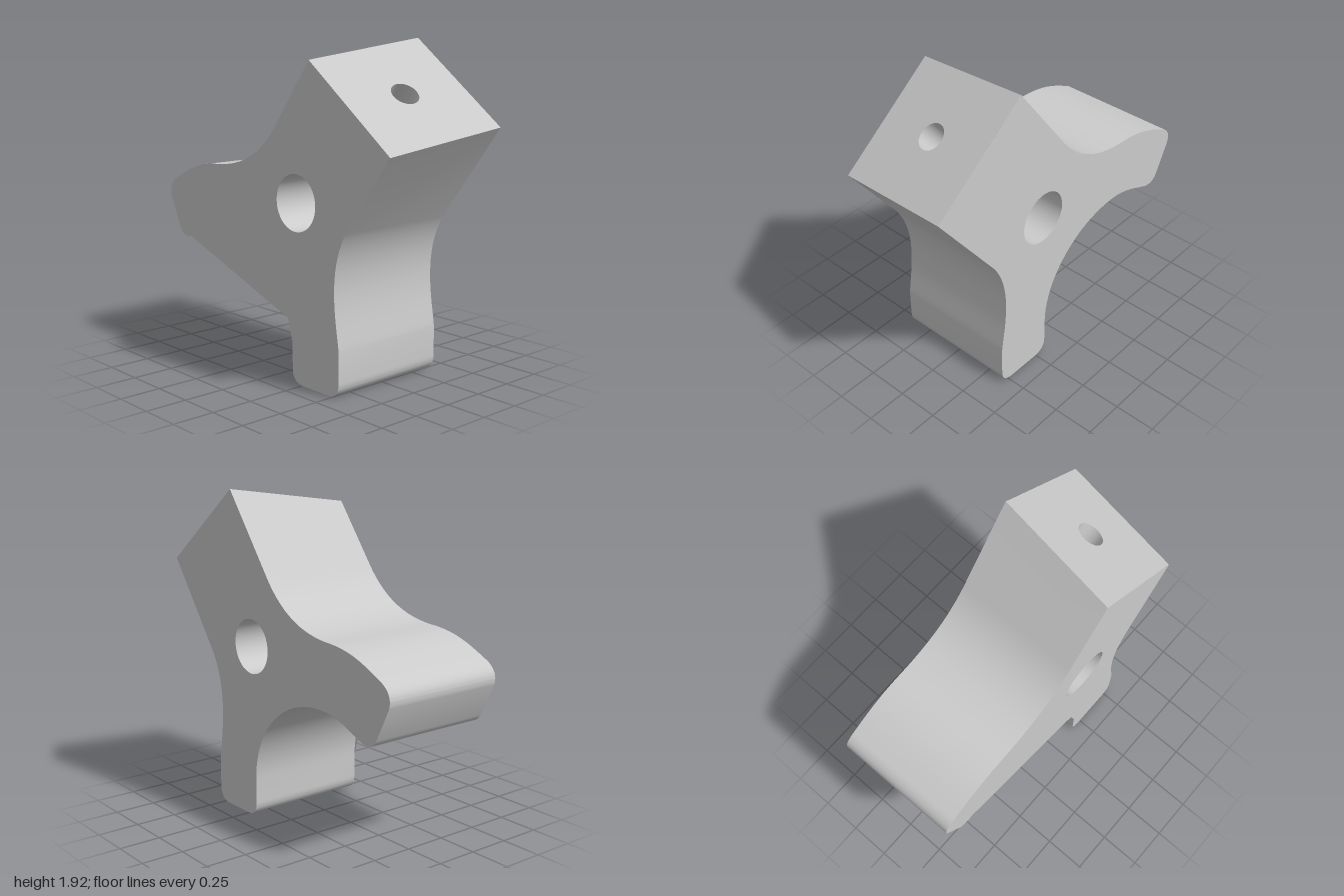
import * as THREE from 'three';
import { toCreasedNormals } from 'three/addons/utils/BufferGeometryUtils.js';

const HALF = 0.38;                       // half width along x
const SLANT = 0.132;                     // how much shorter the upper arm is at -x
const HUB = { a: -0.2, y: 1.035, r: 0.162 };
const BORE_R = 0.08;

// Profile coordinates are (a, y) with a = -z.
// The underside arch between the rear arm and the leg.
function arch(path) {
  path.bezierCurveTo(0.66, 0.75, 0.58, 0.80, 0.44, 0.80);
  path.bezierCurveTo(0.1, 0.80, -0.17, 0.55, -0.17, 0.23);
}

// Three-armed outline, starting and ending at the corners of the upper arm.
function outline(cut) {
  const s = new THREE.Shape();
  s.moveTo(-0.39 + 0.6 * cut, 1.925 - 0.8 * cut);
  s.lineTo(-0.04, 1.46);
  s.bezierCurveTo(0.08, 1.30, 0.25, 1.19, 0.52, 1.18);
  s.bezierCurveTo(0.7, 1.17, 0.8, 1.12, 0.94, 1.05);
  s.quadraticCurveTo(1.02, 1.0, 0.99, 0.92);
  s.lineTo(0.90, 0.74);
  s.quadraticCurveTo(0.87, 0.68, 0.79, 0.70);
  arch(s);
  s.lineTo(-0.17, 0.09);
  s.quadraticCurveTo(-0.17, 0, -0.26, 0);
  s.lineTo(-0.46, 0);
  s.quadraticCurveTo(-0.55, 0, -0.55, 0.09);
  s.lineTo(-0.55, 0.26);
  s.bezierCurveTo(-0.535, 0.40, -0.45, 0.68, -0.60, 0.92);
  s.lineTo(-1.0 + 0.6 * cut, 1.46 - 0.8 * cut);
  return s;
}

function circleHole(x, y, r) {
  return new THREE.Path().absarc(x, y, r, 0, Math.PI * 2, true);
}

// Flat side of the body with the hub hole
function sideGeometry(cut, x) {
  const shape = outline(cut);
  shape.holes.push(circleHole(HUB.a, HUB.y, HUB.r));
  const g = new THREE.ShapeGeometry(shape, 20).rotateY(Math.PI / 2).translate(x, 0, 0);
  if (x < 0) {
    g.index.array.reverse();
    g.computeVertexNormals();
  }
  return g;
}

// Ribbon joining the two side outlines, open at the arm's end
function wallGeometry() {
  const right = outline(0).getPoints(20);
  const left = outline(SLANT).getPoints(20);
  const pos = [], index = [];
  right.forEach((p, i) => {
    pos.push(HALF, p.y, -p.x, -HALF, left[i].y, -left[i].x);
    if (i < right.length - 1) {
      const k = 2 * i;
      index.push(k, k + 2, k + 1, k + 2, k + 3, k + 1);
    }
  });
  const g = new THREE.BufferGeometry();
  g.setAttribute('position', new THREE.Float32BufferAttribute(pos, 3));
  g.setIndex(index);
  return toCreasedNormals(g, 0.5);
}

export function createModel() {
  const group = new THREE.Group();
  const grey = new THREE.MeshStandardMaterial({ color: 0xcccccc });
  const inner = new THREE.MeshStandardMaterial({ color: 0xcccccc, side: THREE.BackSide });
  const thin = new THREE.MeshStandardMaterial({ color: 0xcccccc, side: THREE.DoubleSide });
  const add = (name, geometry, material, parent = group) => {
    const mesh = new THREE.Mesh(geometry, material);
    mesh.name = name;
    parent.add(mesh);
    return mesh;
  };

  // Body
  add('leftSide', sideGeometry(0, HALF), grey);
  add('rightSide', sideGeometry(SLANT, -HALF), grey);
  add('outerWall', wallGeometry(), grey);

  // Hub hole running through the width
  const hub = new THREE.CylinderGeometry(HUB.r, HUB.r, 2 * HALF, 48, 1, true);
  hub.rotateZ(Math.PI / 2).translate(0, HUB.y, -HUB.a);
  add('hubHole', hub, inner);

  // Slanted end of the upper arm, with its bore pointing at the hub
  const armEnd = new THREE.Group();
  armEnd.name = 'upperArmEnd';
  const corner = (x, z, y) => new THREE.Vector3(x, y, z);
  const a = corner(HALF, 0.39, 1.925), b = corner(HALF, 1.0, 1.46);
  const shift = new THREE.Vector3(2 * HALF, 0.8 * SLANT, 0.6 * SLANT);
  const across = a.clone().sub(b);
  const w = across.length() / 2, l = shift.length() / 2;
  const sDir = shift.clone().normalize();
  const wDir = across.clone().normalize();
  const nDir = sDir.clone().cross(wDir).normalize();
  armEnd.applyMatrix4(new THREE.Matrix4().makeBasis(sDir, nDir.clone().cross(sDir), nDir)
    .setPosition(a.clone().add(b).sub(shift).multiplyScalar(0.5)));
  const face = new THREE.Shape([[-l, -w], [l, -w], [l, w], [-l, w]].map(p => new THREE.Vector2(...p)));
  face.holes.push(circleHole(0, 0, BORE_R));
  add('endFace', new THREE.ShapeGeometry(face, 16), grey, armEnd);
  const bore = new THREE.CylinderGeometry(BORE_R, BORE_R, 0.62, 32, 1, true);
  add('bore', bore.rotateX(Math.PI / 2).translate(0, 0, -0.31), inner, armEnd);
  group.add(armEnd);

  // Thin web closing the arch on the right side
  const web = new THREE.Shape();
  web.moveTo(0.79, 0.70);
  arch(web);
  web.lineTo(-0.13, 0.37);
  add('archWeb', new THREE.ShapeGeometry(web, 20).rotateY(Math.PI / 2).translate(-HALF, 0, 0), thin);

  return group;
}
